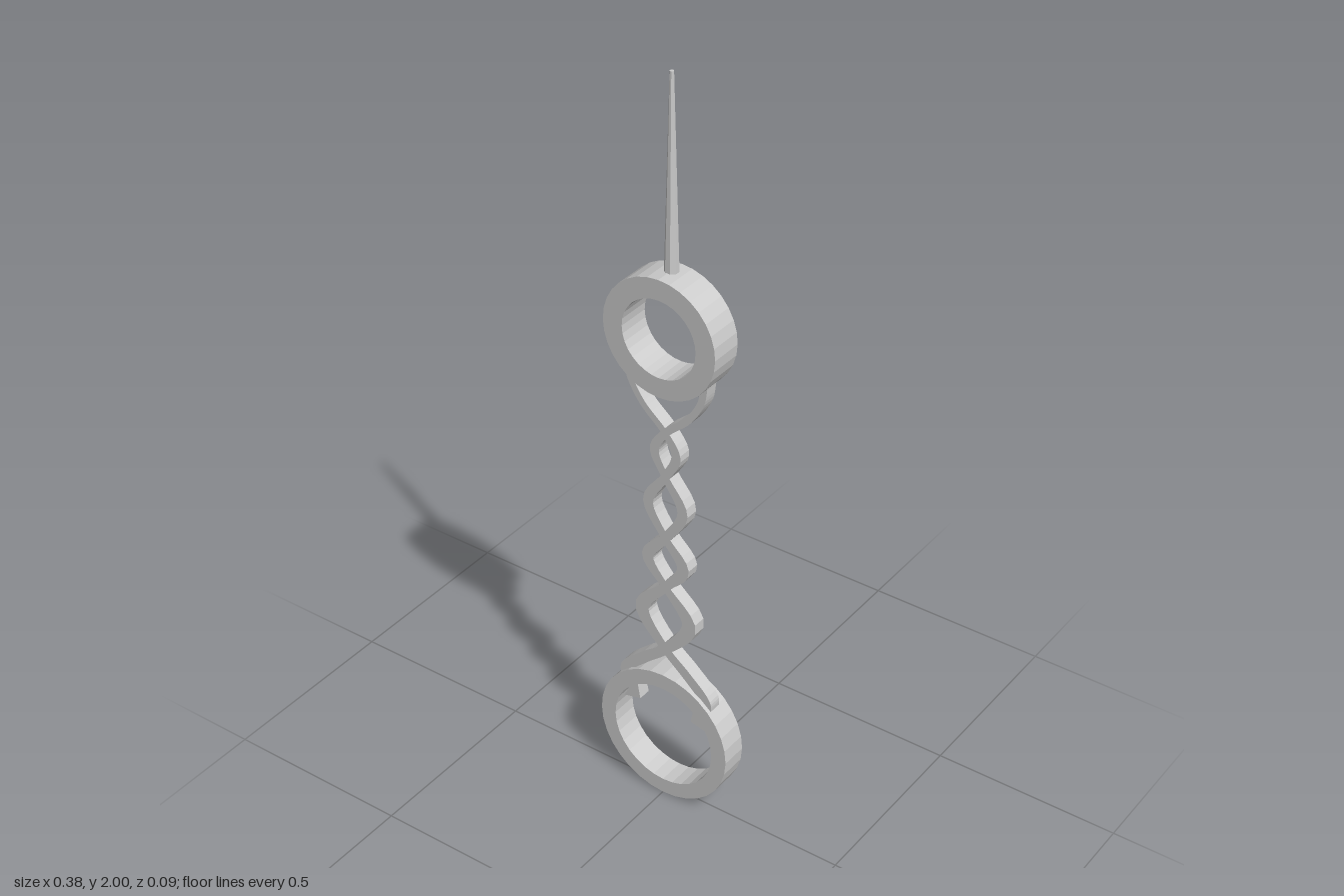
import * as THREE from 'three';

const material = new THREE.MeshStandardMaterial({ color: 0xcccccc, flatShading: true });

// Extrude a flat outline from z0 to z1
function slab(name, shape, z0, z1, curveSegments = 16) {
  const geometry = new THREE.ExtrudeGeometry(shape, { depth: z1 - z0, bevelEnabled: false, curveSegments });
  geometry.translate(0, 0, z0);
  const mesh = new THREE.Mesh(geometry, material);
  mesh.name = name;
  return mesh;
}

function ring(name, y, outer, inner, z0, z1) {
  const shape = new THREE.Shape().absarc(0, y, outer, 0, Math.PI * 2, false);
  shape.holes.push(new THREE.Path().absarc(0, y, inner, 0, Math.PI * 2, true));
  return slab(name, shape, z0, z1);
}

// Strand outline: offset a centre line to both sides; the third value is the half width
function strandShape(points, side) {
  const curve = new THREE.CatmullRomCurve3(points.map(([x, y, w]) => new THREE.Vector3(x * side, y, w)));
  const left = [], right = [], steps = 72;
  for (let i = 0; i <= steps; i++) {
    const p = curve.getPoint(i / steps), t = curve.getTangent(i / steps);
    const n = new THREE.Vector2(-t.y, t.x).normalize().multiplyScalar(p.z);
    left.push(new THREE.Vector2(p.x + n.x, p.y + n.y));
    right.push(new THREE.Vector2(p.x - n.x, p.y - n.y));
  }
  return new THREE.Shape([...left, ...right.reverse()]);
}

export function createModel() {
  const group = new THREE.Group();

  // Rings at both ends
  group.add(ring('upperRing', 1.357, 0.155, 0.102, -0.0445, 0.0435));
  group.add(ring('lowerRing', 0.19, 0.19, 0.147, -0.043, 0.029));

  // Tapered spike
  const spikeGeometry = new THREE.CylinderGeometry(0.005, 0.018, 0.5, 8);
  spikeGeometry.rotateY(Math.PI / 8);
  const spike = new THREE.Mesh(spikeGeometry, material);
  spike.name = 'spike';
  spike.position.set(0, 1.75, -0.008);
  group.add(spike);

  // Two mirrored strands weaving across each other: x, y, half width
  const strand = [
    [0.108, 1.262, 0.01], [0.1, 1.21, 0.009], [0.064, 1.15, 0.009], [0, 1.09, 0.01],
    [-0.031, 1.033, 0.013], [0, 0.967, 0.011],
    [0.05, 0.88, 0.0145], [0, 0.79, 0.012],
    [-0.052, 0.718, 0.017], [0, 0.645, 0.012],
    [0.07, 0.555, 0.02], [0, 0.455, 0.014],
    [-0.062, 0.402, 0.015], [-0.12, 0.345, 0.015], [-0.125, 0.32, 0.012],
  ];
  // Hooked strand ends inside the lower ring
  const hook = [[0.115, 0.325], [0.088, 0.322], [0.077, 0.262], [0.127, 0.25], [0.113, 0.275]];
  for (const side of [1, -1]) {
    const label = side > 0 ? 'left' : 'right';
    group.add(slab(label + 'Strand', strandShape(strand, side), -0.017, 0.018));
    const outline = hook.map(([x, y]) => new THREE.Vector2(x * side, y));
    group.add(slab(label + 'Hook', new THREE.Shape(outline), -0.017, 0.018));
  }
  return group;
}
